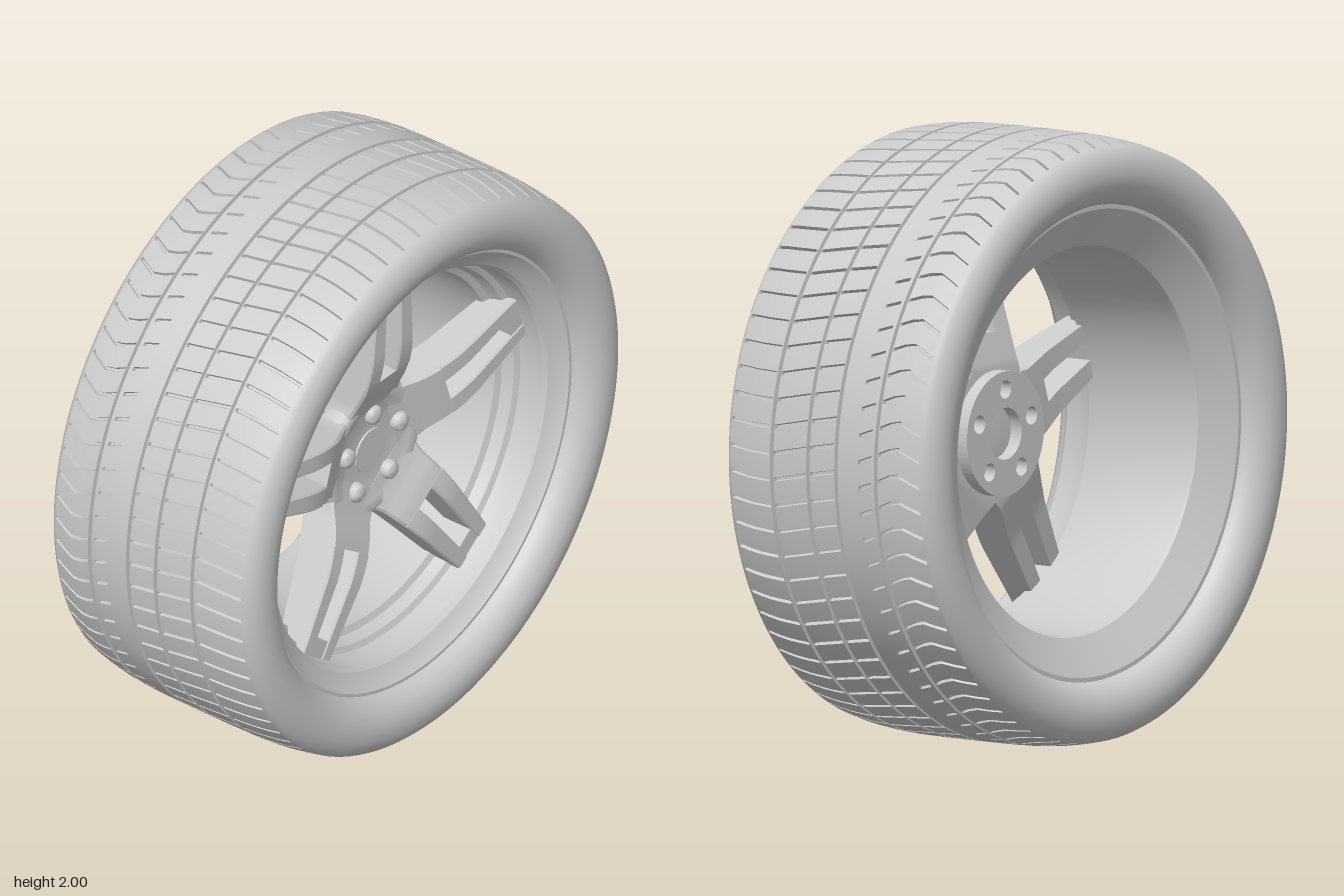
import * as THREE from 'three';
import { toCreasedNormals } from 'three/addons/utils/BufferGeometryUtils.js';

const grey = new THREE.MeshStandardMaterial({ color: 0xcccccc });
const greyDouble = new THREE.MeshStandardMaterial({ color: 0xcccccc, side: THREE.DoubleSide });

// Piecewise-linear lookup through [input, value] pairs
function lerpTable(table, t) {
  if (t <= table[0][0]) return table[0][1];
  for (let i = 1; i < table.length; i++) {
    const [a, va] = table[i - 1], [b, vb] = table[i];
    if (t <= b) return va + (vb - va) * (t - a) / (b - a);
  }
  return table[table.length - 1][1];
}

function mesh(name, geometry, material = grey) {
  const m = new THREE.Mesh(geometry, material);
  m.name = name;
  return m;
}

// Surface through rows of equally long point lists
function skin(rows, closed, caps) {
  const n = rows[0].length, pos = rows.flat(2), idx = [];
  for (let i = 0; i < rows.length - 1; i++) {
    for (let k = 0; k < (closed ? n : n - 1); k++) {
      const a = i * n + k, b = i * n + (k + 1) % n;
      idx.push(a, b, b + n, a, b + n, a + n);
    }
  }
  if (caps) {
    const top = (rows.length - 1) * n;
    for (let k = 1; k < n - 1; k++) idx.push(0, k + 1, k, top, top + k, top + k + 1);
  }
  const g = new THREE.BufferGeometry();
  g.setAttribute('position', new THREE.Float32BufferAttribute(pos, 3));
  g.setIndex(idx);
  return toCreasedNormals(g, 0.6);
}

// Revolve [radius, x] points about the x axis
function revolve(points, segments = 96, crease = 0.4) {
  const g = new THREE.LatheGeometry(points.map(p => new THREE.Vector2(...p)), segments);
  return toCreasedNormals(g.rotateZ(-Math.PI / 2), crease);
}

// Cylinder lying along x, from x0 to x1
function axle(r0, r1, x0, x1, sides = 24) {
  return new THREE.CylinderGeometry(r1, r0, x1 - x0, sides).rotateZ(-Math.PI / 2).translate((x0 + x1) / 2, 0, 0);
}

// Tyre: profile with ring grooves, swept around with slanted cross grooves
function tyreGeometry() {
  const crown = x => 1 - 0.02 * Math.pow(Math.abs(x) / 0.36, 4);
  const side = [[0.34, 0.775], [0.375, 0.785], [0.405, 0.81], [0.424, 0.845], [0.43, 0.88],
    [0.427, 0.915], [0.418, 0.94], [0.406, 0.958], [0.395, 0.969]];
  const bands = [[-0.383, -0.236], [-0.205, -0.155], [-0.055, 0.04], [0.06, 0.19], [0.213, 0.383]];
  const rings = [-0.225, -0.065, 0.05, 0.2];

  // profile entries: [x, radius, cross groove depth]
  const tread = [];
  for (const [a, b] of bands) {
    tread.push([a - 0.002, crown(a), 0]);
    for (let i = 0; i <= 4; i++) {
      const x = a + (b - a) * i / 4;
      tread.push([x, crown(x), 0.014]);
    }
    tread.push([b + 0.002, crown(b), 0]);
  }
  for (const g of rings) {
    for (const [d, depth] of [[-0.007, 0], [-0.005, 0.016], [0.005, 0.016], [0.007, 0]]) {
      tread.push([g + d, crown(g) - depth, 0]);
    }
  }
  tread.sort((p, q) => p[0] - q[0]);
  const profile = [...side.map(([x, r]) => [-x, r, 0]), ...tread, ...side.map(([x, r]) => [x, r, 0]).reverse()];

  const slant = [[-0.43, 0.03], [-0.385, 0.03], [-0.3, -0.01], [-0.22, 0.025], [-0.15, 0.05],
    [-0.06, 0], [0.05, 0.02], [0.2, 0.05], [0.3, 0.045], [0.43, 0.03]];
  const pitches = 72, step = Math.PI * 2 / pitches;
  const columns = [[0, 0], [0.002, 1], [0.011, 1], [0.013, 0], [0.05, 0]];
  const rows = [];
  for (let p = 0; p <= pitches; p++) {
    for (const [offset, cut] of p < pitches ? columns : [columns[0]]) {
      rows.push(profile.map(([x, r, depth]) => {
        const angle = p * step + offset + lerpTable(slant, x), radius = r - cut * depth;
        return [x, radius * Math.sin(angle), radius * Math.cos(angle)];
      }));
    }
  }
  return skin(rows, false, false);
}

// Spoke depth and width along the radius
const spokeFront = [[0.12, 0.143], [0.17, 0.152], [0.22, 0.172], [0.28, 0.203], [0.34, 0.224], [0.42, 0.238], [0.69, 0.245]];
const spokeBack = [[0.12, 0.05], [0.22, 0.055], [0.4, 0.1], [0.69, 0.14]];
const halfWidth = [[0.12, 0.1], [0.19, 0.135], [0.23, 0.122], [0.69, 0.088]];
const slotHalf = [[0.32, 0.04], [0.63, 0.034]];

// Bar with bevelled front edges, between two z rules
function bar(y0, y1, zMin, zMax, steps, bevel = 0.01, drop = 0) {
  const rows = [];
  for (let i = 0; i <= steps; i++) {
    const y = y0 + (y1 - y0) * i / steps;
    const f = lerpTable(spokeFront, y) - drop, b = lerpTable(spokeBack, y);
    const l = zMin(y), r = zMax(y);
    rows.push([[b, y, l], [b, y, r].map((v, k) => v), [f - bevel, y, r], [f, y, r - bevel], [f, y, l + bevel], [f - bevel, y, l]]);
  }
  // loop runs back-right, front-right, front-left, back-left
  return skin(rows, true, true);
}

function spoke() {
  const g = new THREE.Group();
  g.name = 'spoke';
  const w = y => lerpTable(halfWidth, y), s = y => lerpTable(slotHalf, y);
  g.add(mesh('spokeRoot', bar(0.12, 0.325, y => -w(y), w, 12)));
  g.add(mesh('spokeArmLeft', bar(0.325, 0.69, s, w, 10, 0.006)));
  g.add(mesh('spokeArmRight', bar(0.325, 0.69, y => -w(y), y => -s(y), 10, 0.006)));
  g.add(mesh('spokeTip', bar(0.63, 0.69, y => -s(y) - 0.008, y => s(y) + 0.008, 2, 0.004, 0.004)));
  return g;
}

// Mounting plate with centre bore and bolt holes
function mountingPlate() {
  const shape = new THREE.Shape().absarc(0, 0, 0.205, 0, Math.PI * 2);
  const hole = (x, y, r) => shape.holes.push(new THREE.Path().absarc(x, y, r, 0, Math.PI * 2, true));
  hole(0, 0, 0.085);
  for (let i = 0; i < 5; i++) {
    const a = i * Math.PI * 0.4;
    hole(0.145 * Math.sin(a), 0.145 * Math.cos(a), 0.03);
  }
  const g = new THREE.ExtrudeGeometry(shape, { depth: 0.05, bevelEnabled: false, curveSegments: 32 });
  return g.rotateY(Math.PI / 2).translate(0.01, 0, 0);
}

export function createModel() {
  const wheel = new THREE.Group();
  wheel.name = 'wheel';
  wheel.position.y = 1;

  wheel.add(mesh('tyre', tyreGeometry()));

  // Rim: flared back edge, barrel, stepped front lip
  wheel.add(mesh('rim', revolve([[0.785, -0.33], [0.782, -0.355], [0.765, -0.355], [0.64, -0.285], [0.635, -0.27],
    [0.63, 0.14], [0.632, 0.155], [0.655, 0.165], [0.663, 0.185], [0.668, 0.205], [0.688, 0.215], [0.694, 0.235],
    [0.698, 0.295], [0.71, 0.312], [0.75, 0.335], [0.768, 0.355], [0.782, 0.355], [0.785, 0.33]], 128), greyDouble));

  // Hub
  wheel.add(mesh('hub', revolve([[0, 0.055], [0.2, 0.055], [0.235, 0.065], [0.245, 0.09], [0.246, 0.135],
    [0.238, 0.155], [0.22, 0.163], [0.19, 0.155], [0.15, 0.143], [0.09, 0.14], [0, 0.14]], 64, 0.8)));
  wheel.add(mesh('mountingPlate', mountingPlate()));
  wheel.add(mesh('centreCap', axle(0.08, 0.077, 0.13, 0.146, 40)));

  // Five spokes, each with a wheel nut at its root
  for (let i = 0; i < 5; i++) {
    const unit = new THREE.Group();
    unit.name = 'spokeAndNut';
    unit.add(spoke());
    const nut = mesh('wheelNut', revolve([[0.034, 0.13], [0.034, 0.158], [0.029, 0.17], [0.016, 0.177], [0, 0.179]], 20, 0.7));
    nut.position.y = 0.145;
    unit.add(nut);
    unit.rotation.x = i * Math.PI * 0.4;
    wheel.add(unit);
  }

  // Valve
  const valve = new THREE.Group();
  valve.name = 'valve';
  valve.add(mesh('valveStem', axle(0.012, 0.01, 0.16, 0.23, 12)));
  valve.add(mesh('valveCap', axle(0.016, 0.014, 0.23, 0.255, 12)));
  valve.position.set(0, 0.6, 0.285);
  wheel.add(valve);

  const model = new THREE.Group();
  model.name = 'wheelModel';
  model.add(wheel);
  return model;
}
